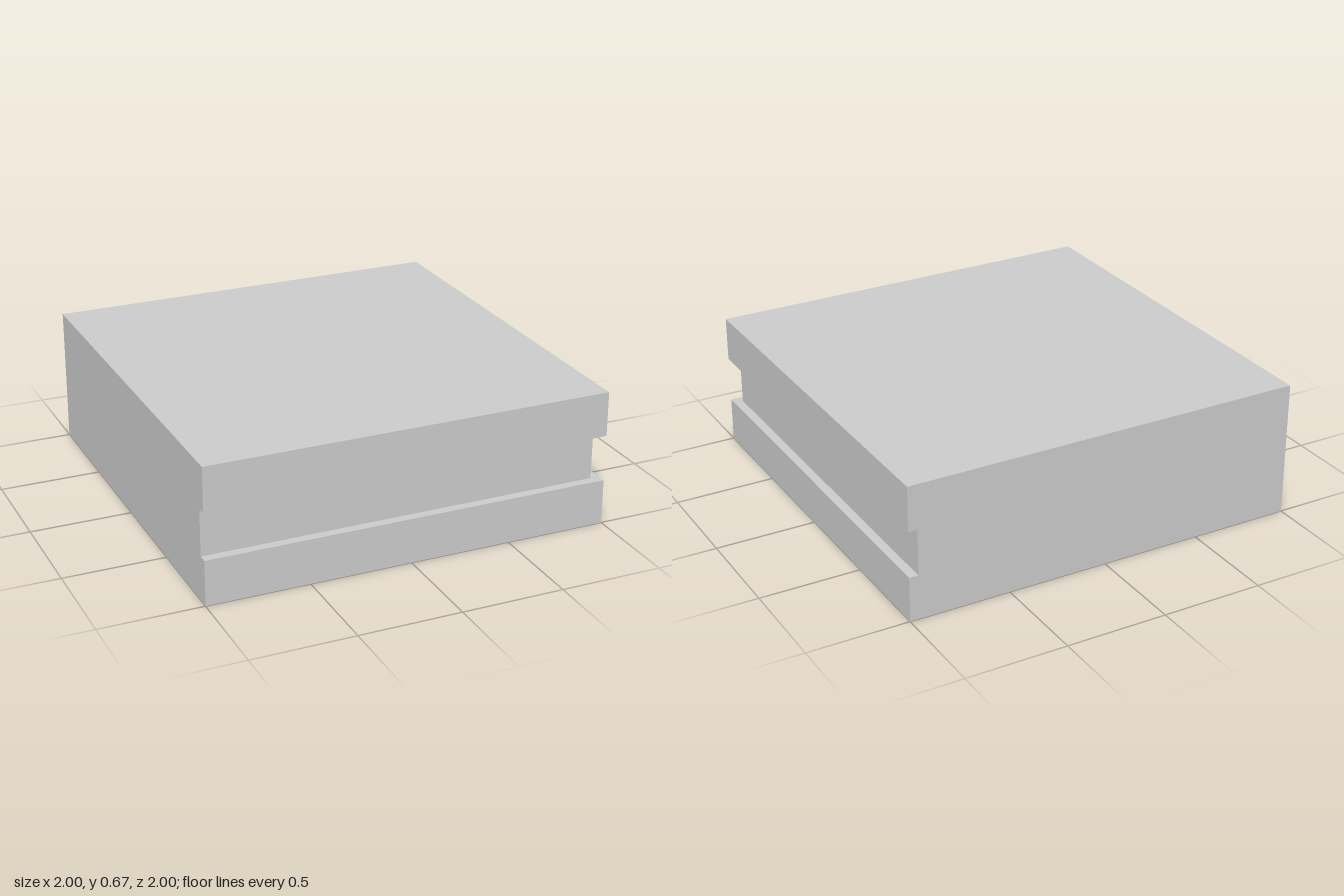
import * as THREE from 'three';

const material = new THREE.MeshStandardMaterial({ color: 0xcccccc });

// Square slab from y0 to y1, its front and left (+x) sides set back by inset
function slab(name, y0, y1, inset = 0) {
  const size = 2 - inset;
  const mesh = new THREE.Mesh(new THREE.BoxGeometry(size, y1 - y0, size), material);
  mesh.name = name;
  mesh.position.set(-inset / 2, (y0 + y1) / 2, -inset / 2);
  return mesh;
}

export function createModel() {
  const model = new THREE.Group();
  model.name = 'groovedBlock';
  model.add(
    slab('lowerSlab', 0, 0.222),
    // Recessed band, flush with the other slabs at the back and at -x
    slab('recessedCore', 0.222, 0.45, 0.045),
    slab('upperSlab', 0.45, 0.67),
  );
  return model;
}
